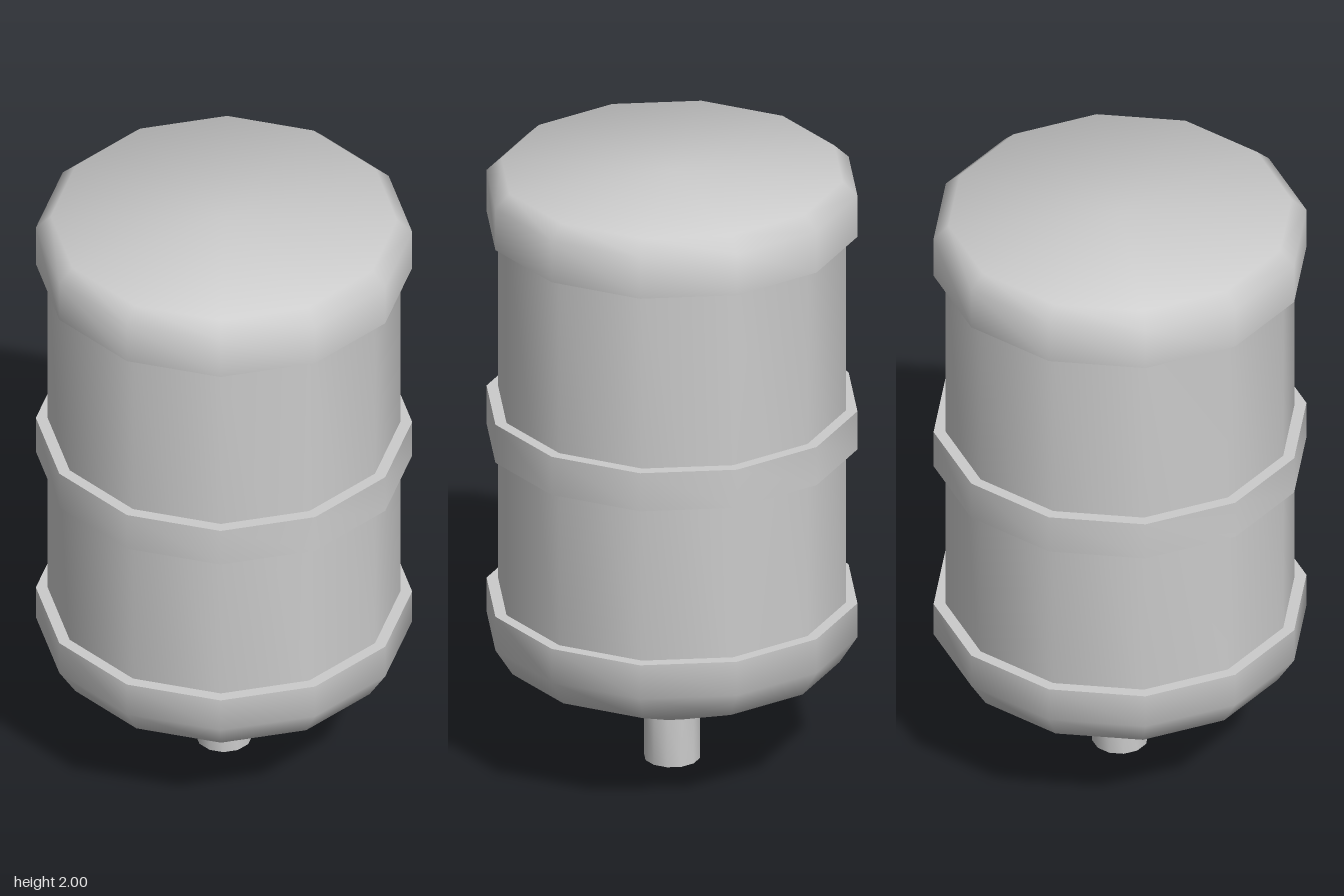
import * as THREE from 'three';
import { toCreasedNormals } from 'three/addons/utils/BufferGeometryUtils.js';

const SIDES = 12;
const CREASE = 1.0; // radians: bevels stay smooth, rims stay sharp

export function createModel() {
  const group = new THREE.Group();
  const material = new THREE.MeshStandardMaterial({ color: 0xcccccc });

  // Turns a profile of [radius, height] pairs, listed from bottom to top outside
  function turned(name, profile) {
    const points = profile.map(([r, y]) => new THREE.Vector2(r, y));
    const geometry = toCreasedNormals(new THREE.LatheGeometry(points, SIDES), CREASE);
    const mesh = new THREE.Mesh(geometry, material);
    mesh.name = name;
    group.add(mesh);
  }

  // Outlet pipe under the cone
  turned('spout', [[0, 0], [0.088, 0], [0.088, 0.17]]);

  // Funnel base with bevelled shoulder and a small ledge on top
  turned('funnelBase', [[0.085, 0.16], [0.53, 0.36], [0.587, 0.45], [0.587, 0.565], [0.54, 0.565]]);

  // Tank wall
  turned('tankWall', [[0.55, 0.5], [0.55, 1.86]]);

  // Band around the middle
  turned('middleBand', [[0.54, 1.09], [0.587, 1.09], [0.587, 1.22], [0.54, 1.22]]);

  // Lid with bevelled rim
  turned('lid', [[0.54, 1.815], [0.587, 1.815], [0.587, 1.955], [0.54, 2], [0, 2]]);

  return group;
}
